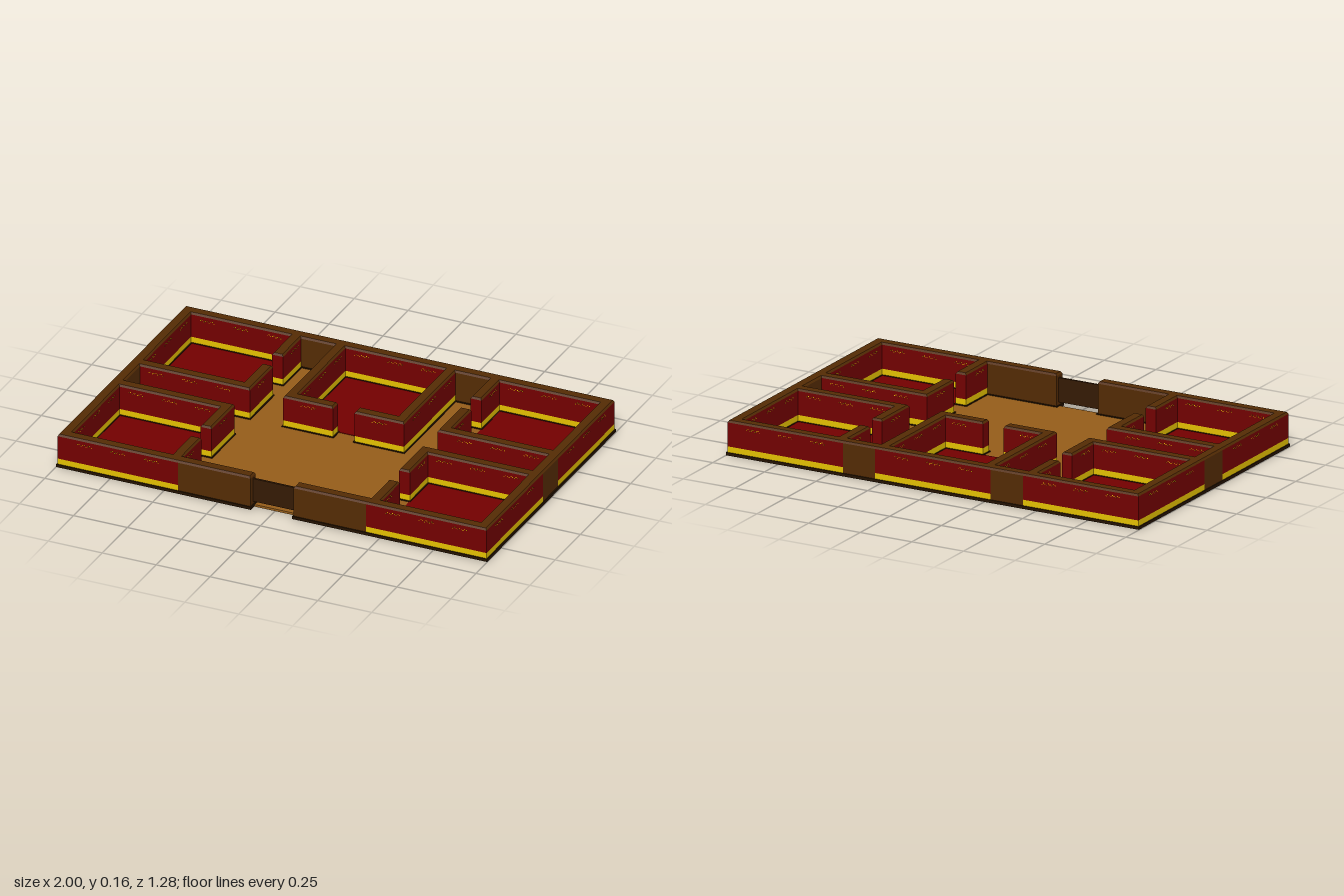
import * as THREE from 'three';
import { mergeGeometries } from 'three/addons/utils/BufferGeometryUtils.js';

const mat = (name, color) => {
  const m = new THREE.MeshStandardMaterial({ color });
  m.name = name;
  return m;
};

export function createModel() {
  const red = mat('deep red', 0x740000);
  const gold = mat('gold', 0xe8c400);
  const wood = mat('wall wood', 0x552c04);
  const dark = mat('dark trim', 0x241200);
  const gateWood = mat('gate wood', 0x351a03);
  const floorWood = mat('floor wood', 0x975e1a);

  const T = 0.05;      // wall thickness
  const HALF = 0.28;   // half the outer width of a room
  const DOOR = 0.05;   // half the width of a room door
  const X = 0.995, Z = 0.635, INNER = 0.075;

  const model = new THREE.Group();
  model.name = 'floorPlan';

  const boxGeo = (x0, x1, y0, y1, z0, z1) =>
    new THREE.BoxGeometry(x1 - x0, y1 - y0, z1 - z0)
      .translate((x0 + x1) / 2, (y0 + y1) / 2, (z0 + z1) / 2);

  const add = (parent, name, geo, material) => {
    const mesh = new THREE.Mesh(geo, material);
    mesh.name = name;
    parent.add(mesh);
  };
  const box = (parent, name, material, ...b) => add(parent, name, boxGeo(...b), material);

  // Wall top with sloping edges
  const capGeo = (x0, x1, z0, z1) => {
    const g = boxGeo(x0, x1, 0.146, 0.155, z0, z1);
    const p = g.attributes.position, s = 0.006;
    for (let i = 0; i < p.count; i++) {
      if (p.getY(i) < 0.15) continue;
      p.setX(i, p.getX(i) + (p.getX(i) > (x0 + x1) / 2 ? -s : s));
      p.setZ(i, p.getZ(i) + (p.getZ(i) > (z0 + z1) / 2 ? -s : s));
    }
    g.computeVertexNormals();
    return g;
  };

  // Clusters of small gold dots showing on both faces of a wall
  const dots = (parent, x0, x1, z0, z1) => {
    const alongX = x1 - x0 > z1 - z0;
    const a = alongX ? x0 : z0, b = alongX ? x1 : z1;
    const offsets = b - a > 0.4 ? [-0.155, 0, 0.155] : [0];
    const parts = [];
    for (const o of offsets) {
      for (let i = 0; i < 9; i++) {
        const c = (a + b) / 2 + o + (i - 4) * 0.008;
        const y = 0.127 + 0.004 * Math.sin(i * 2.1);
        parts.push(alongX
          ? boxGeo(c - 0.002, c + 0.002, y - 0.0015, y + 0.0015, z0 - 0.001, z1 + 0.001)
          : boxGeo(x0 - 0.001, x1 + 0.001, y - 0.0015, y + 0.0015, c - 0.002, c + 0.002));
      }
    }
    add(parent, 'wallOrnament', mergeGeometries(parts), gold);
  };

  const trimAndCap = (parent, x0, x1, z0, z1) => {
    const e = 0.005;
    box(parent, 'baseTrim', dark, x0 - e, x1 + e, 0.001, 0.014, z0 - e, z1 + e);
    add(parent, 'wallCap', capGeo(x0, x1, z0, z1), wood);
  };

  const roomWall = (parent, x0, x1, z0, z1) => {
    box(parent, 'goldBand', gold, x0, x1, 0.014, 0.04, z0, z1);
    box(parent, 'redWall', red, x0, x1, 0.04, 0.146, z0, z1);
    trimAndCap(parent, x0, x1, z0, z1);
    dots(parent, x0, x1, z0, z1);
  };

  // A square room with its door on local +x
  const room = (name, cx, cz, turn) => {
    const g = new THREE.Group();
    g.name = name;
    const H = HALF, I = HALF - T;
    roomWall(g, -H, -I, -H, H);
    roomWall(g, -H, H, -H, -I);
    roomWall(g, -H, H, I, H);
    roomWall(g, I, H, -H, -DOOR);
    roomWall(g, I, H, DOOR, H);
    box(g, 'roomFloor', red, -I, I, 0.008, 0.012, -I, I);
    g.position.set(cx, 0, cz);
    g.rotation.y = turn;
    model.add(g);
  };

  const rx = X - HALF, rz = Z - HALF;
  for (const s of [-1, 1]) {
    const turn = s > 0 ? Math.PI : 0;
    const side = s > 0 ? 'Left' : 'Right';
    room('back' + side + 'Room', s * rx, -rz, turn);
    room('front' + side + 'Room', s * rx, rz, turn);
  }
  room('backCentreRoom', 0, -rz, -Math.PI / 2);

  // Plain hall walls; caps and trim run on into the neighbouring rooms
  const hallWall = (name, x0, x1, z0, z1, ex0, ex1, ez) => {
    const g = new THREE.Group();
    g.name = name;
    box(g, 'woodWall', wood, x0, x1, 0.014, 0.146, z0, z1);
    trimAndCap(g, x0 - ex0, x1 + ex1, z0 - ez, z1 + ez);
    model.add(g);
  };
  const edge = X - 2 * HALF; // inner side of the corner rooms
  hallWall('backHallWallLeft', HALF, edge, -Z, -Z + T, T, T, 0);
  hallWall('backHallWallRight', -edge, -HALF, -Z, -Z + T, T, T, 0);
  hallWall('sideHallWallLeft', X - T, X, -INNER, INNER, 0, 0, T);
  hallWall('sideHallWallRight', -X, -X + T, -INNER, INNER, 0, 0, T);
  hallWall('frontHallWallLeft', 0.1, edge, Z - T, Z, 0, T, 0);
  hallWall('frontHallWallRight', -edge, -0.1, Z - T, Z, T, 0, 0);

  // Raised gate in the front opening
  box(model, 'frontGate', gateWood, -0.1, 0.1, 0.027, 0.135, 0.601, 0.611);

  // Floor slab, notched at the front opening
  const zF = 0.605;
  box(model, 'hallFloor', floorWood, -X, X, 0, 0.01, -Z, zF);
  for (const s of [-1, 1]) {
    box(model, 'floorFrontEdge', floorWood,
      Math.min(s * 0.1, s * X), Math.max(s * 0.1, s * X), 0, 0.01, zF, Z);
  }

  return model;
}
